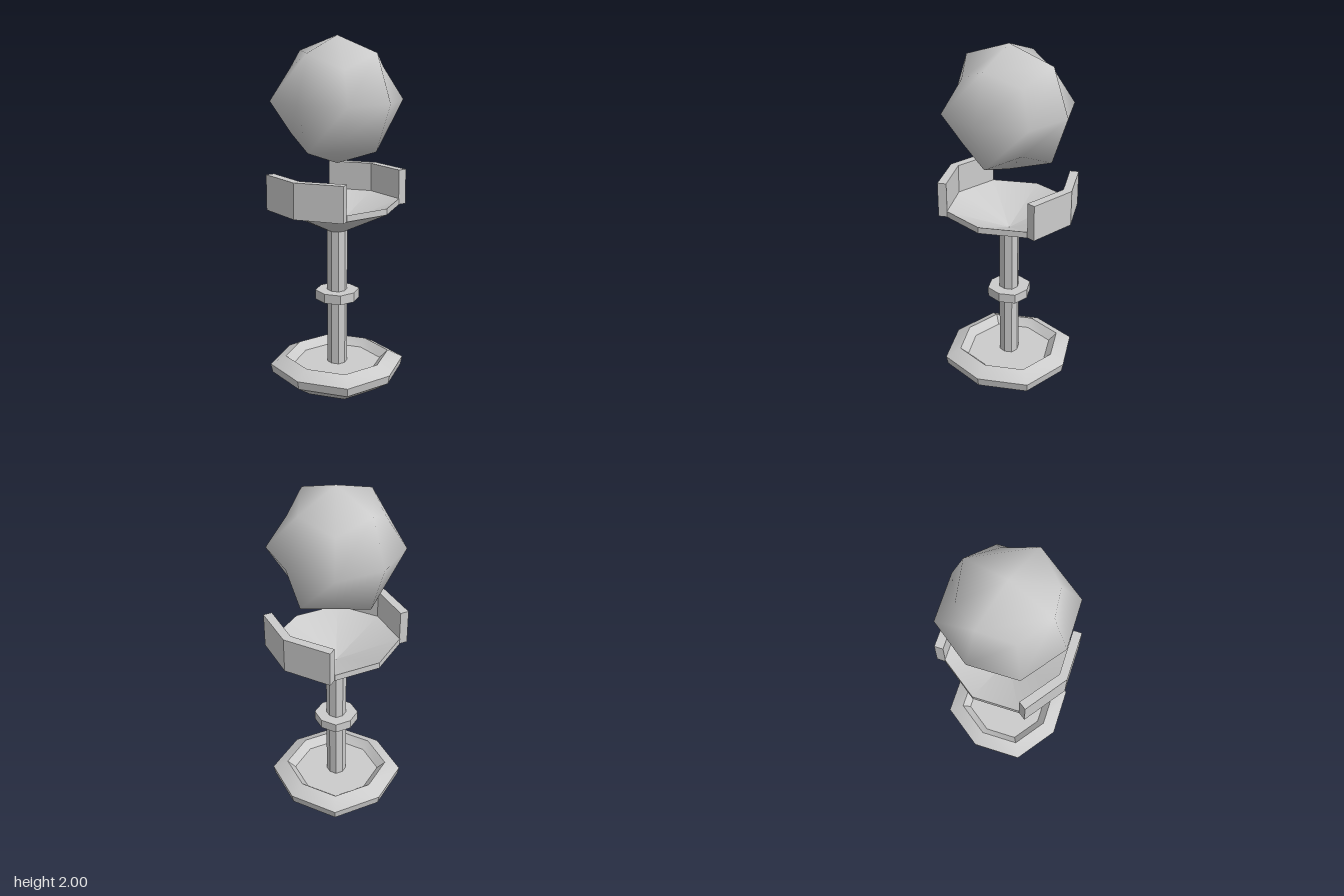
import * as THREE from 'three';
import { mergeVertices, toCreasedNormals } from 'three/addons/utils/BufferGeometryUtils.js';

const material = new THREE.MeshStandardMaterial({ color: 0xcccccc });
const CREASE = 0.55;

function part(name, geometry) {
  const mesh = new THREE.Mesh(geometry, material);
  mesh.name = name;
  return mesh;
}

// Eight-sided turned form, its diagonal corners pushed out a little.
// Profile runs [radius, y] from bottom centre, round the outside, to top centre.
function turned(profile) {
  const geometry = new THREE.LatheGeometry(profile.map(([r, y]) => new THREE.Vector2(r, y)), 8);
  const pos = geometry.attributes.position;
  for (let i = 0; i < pos.count; i++) {
    if (Math.floor(i / profile.length) % 2 === 1) {
      pos.setXYZ(i, pos.getX(i) * 1.065, pos.getY(i), pos.getZ(i) * 1.065);
    }
  }
  return toCreasedNormals(geometry, CREASE);
}

// Rounded cube: face centres, edge middles and corners each get their own reach.
function globe() {
  const reach = [0, 0.35, 0.262, 0.18];
  let geometry = new THREE.BoxGeometry(2, 2, 2, 2, 2, 2);
  const pos = geometry.attributes.position;
  for (let i = 0; i < pos.count; i++) {
    const p = [pos.getX(i), pos.getY(i), pos.getZ(i)].map(Math.round);
    const k = reach[p.filter((v) => v !== 0).length];
    pos.setXYZ(i, p[0] * k, p[1] * k, p[2] * k);
  }
  geometry.deleteAttribute('normal');
  geometry.deleteAttribute('uv');
  geometry = mergeVertices(geometry);
  geometry.computeVertexNormals();
  return geometry;
}

// Bent side wall that follows two edges of the dish
function sideWall() {
  const outline = [[0.30, -0.265], [0.385, 0], [0.30, 0.265], [0.252, 0.25], [0.335, 0], [0.252, -0.25]];
  const shape = new THREE.Shape(outline.map(([x, z]) => new THREE.Vector2(x, z)));
  const geometry = new THREE.ExtrudeGeometry(shape, { depth: 0.2, bevelEnabled: false });
  geometry.rotateX(-Math.PI / 2).translate(0, 1.05, 0);
  return toCreasedNormals(geometry, CREASE);
}

export function createModel() {
  const model = new THREE.Group();
  model.name = 'globeStand';

  // Foot with a raised rim and a recessed floor
  model.add(part('base', turned([
    [0, 0], [0.265, 0], [0.36, 0.065], [0.37, 0.115], [0.285, 0.16], [0.24, 0.115], [0, 0.115],
  ])));

  // Column and its collar
  model.add(part('column', turned([[0, 0.1], [0.055, 0.1], [0.055, 0.93], [0, 0.93]])));
  model.add(part('collar', turned([[0, 0.505], [0.12, 0.505], [0.12, 0.56], [0, 0.56]])));

  // Hollow dish
  model.add(part('dish', turned([
    [0, 0.915], [0.055, 0.915], [0.335, 1.05], [0.335, 1.085], [0, 0.94],
  ])));

  // Mirrored pair of walls
  for (const [name, turn] of [['leftWall', 0], ['rightWall', Math.PI]]) {
    const wall = part(name, sideWall());
    wall.rotation.y = turn;
    model.add(wall);
  }

  // Floating globe
  const ball = part('globe', globe());
  ball.position.y = 1.65;
  model.add(ball);

  return model;
}
